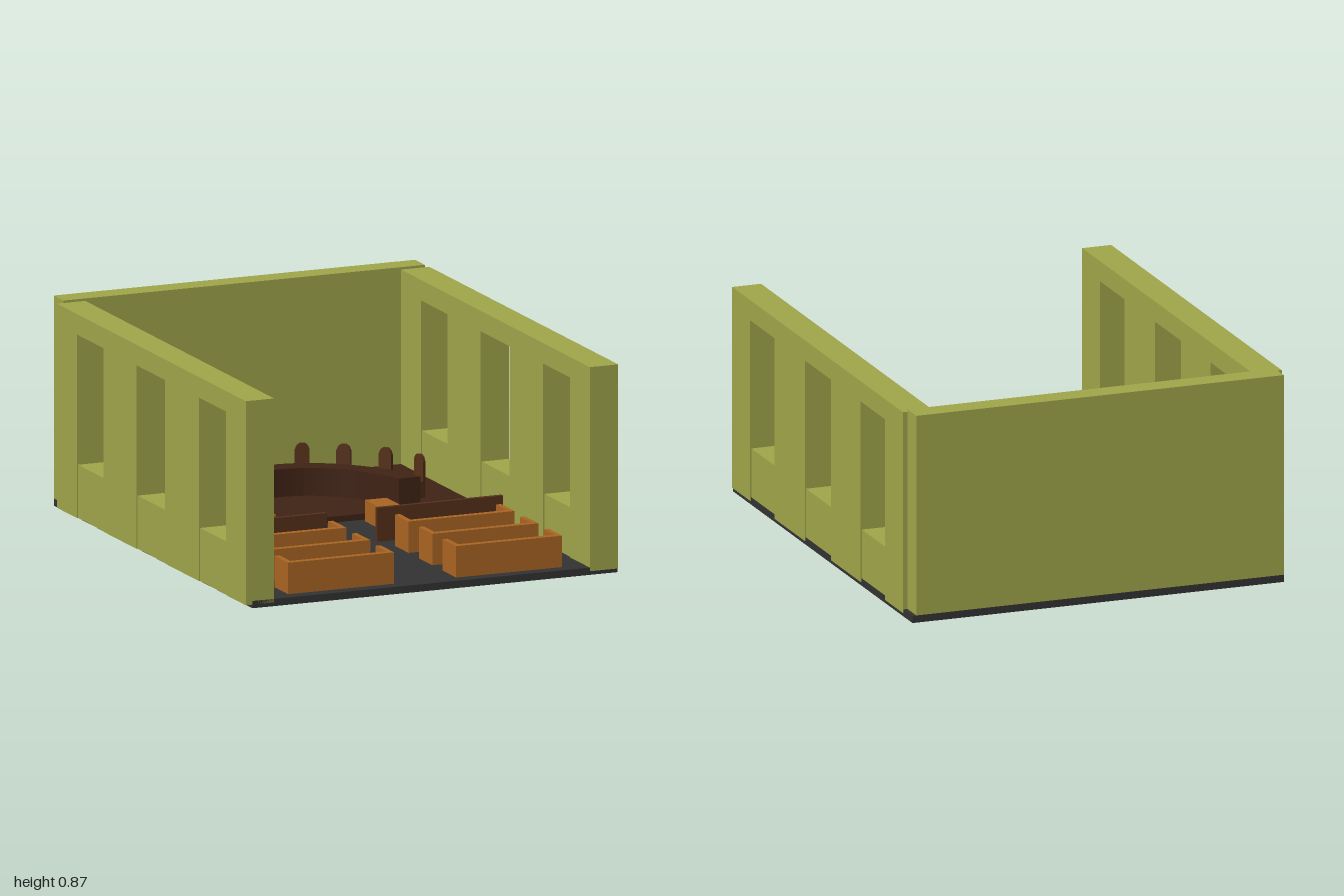
import * as THREE from 'three';

const mat = (color) => new THREE.MeshStandardMaterial({ color, flatShading: true });

export function createModel() {
  const room = new THREE.Group();
  room.name = 'courtroom';
  const olive = mat(0xa0a64a), slate = mat(0x333333), darkWood = mat(0x3f2215);
  const redWood = mat(0x55301a), lightWood = mat(0xaa6522);

  // Box given by its minimum and maximum on each axis
  function box(parent, name, material, x0, x1, y0, y1, z0, z1) {
    const mesh = new THREE.Mesh(new THREE.BoxGeometry(x1 - x0, y1 - y0, z1 - z0), material);
    mesh.position.set((x0 + x1) / 2, (y0 + y1) / 2, (z0 + z1) / 2);
    mesh.name = name;
    parent.add(mesh);
    return mesh;
  }
  function group(name) {
    const g = new THREE.Group();
    g.name = name;
    room.add(g);
    return g;
  }

  // Floor, raised platform and back wall
  box(room, 'floor', slate, -0.79, 0.817, 0, 0.03, -1, 1);
  box(room, 'platform', darkWood, -0.7, 0.695, 0.025, 0.055, -0.9, -0.15);
  box(room, 'backWall', olive, -0.79, 0.8, 0.004, 0.87, -0.999, -0.9);

  // Side walls: an outline with full-height notches, closed below by inset sills
  const windows = [[-0.7, -0.43], [-0.1, 0.19], [0.53, 0.8]];
  const outline = new THREE.Shape();
  outline.moveTo(-0.9, 0.015);
  for (const [a, b] of windows) {
    outline.lineTo(a, 0.015);
    outline.lineTo(a, 0.775);
    outline.lineTo(b, 0.775);
    outline.lineTo(b, 0.015);
  }
  outline.lineTo(1, 0.015);
  outline.lineTo(1, 0.86);
  outline.lineTo(-0.9, 0.86);
  const wallGeometry = new THREE.ExtrudeGeometry(outline, { depth: 0.125, bevelEnabled: false });
  wallGeometry.rotateY(-Math.PI / 2);
  for (const [name, x] of [['leftWall', 0.82], ['rightWall', -0.695]]) {
    const g = group(name);
    const wall = new THREE.Mesh(wallGeometry, olive);
    wall.position.x = x;
    wall.name = 'wallPanel';
    g.add(wall);
    for (const [a, b] of windows) {
      box(g, 'windowSill', olive, x - 0.12, x - 0.005, 0.015, 0.235, a, b);
    }
  }

  // Curved bench desk on the platform (plan drawn as x, -z)
  const half = (pts) => [...pts, ...pts.slice(0, -1).reverse().map(([x, y]) => [-x, y])];
  const spline = (pts) => new THREE.CatmullRomCurve3(
    half(pts).map(([x, y]) => new THREE.Vector3(x, y, 0)), false, 'centripetal').getPoints(36);
  const outer = spline([[0.48, 0.21], [0.425, 0.355], [0.31, 0.51], [0.16, 0.615], [0, 0.645]]);
  const inner = spline([[0.385, 0.21], [0.32, 0.345], [0.235, 0.46], [0.12, 0.535], [0, 0.555]]);
  const plan = new THREE.Shape([...outer, ...inner.reverse()].map((p) => new THREE.Vector2(p.x, p.y)));
  const deskGeometry = new THREE.ExtrudeGeometry(plan, { depth: 0.12, bevelEnabled: false });
  deskGeometry.rotateX(-Math.PI / 2);
  const desk = new THREE.Mesh(deskGeometry, darkWood);
  desk.position.y = 0.05;
  desk.name = 'curvedDesk';
  room.add(desk);

  // Chairs with arched backs, all facing the middle of the desk
  const arch = new THREE.Shape([[-0.03, 0], [0.03, 0], [0.03, 0.15], [0.022, 0.168], [0.01, 0.177],
    [-0.01, 0.177], [-0.022, 0.168], [-0.03, 0.15]].map(([x, y]) => new THREE.Vector2(x, y)));
  const backGeometry = new THREE.ExtrudeGeometry(arch, { depth: 0.014, bevelEnabled: false });
  function chair(x, z) {
    const g = group('chair');
    box(g, 'seat', redWood, -0.03, 0.03, 0, 0.07, -0.017, 0.03);
    const back = new THREE.Mesh(backGeometry, redWood);
    back.position.z = -0.03;
    back.name = 'chairBack';
    g.add(back);
    g.position.set(x, 0.054, z);
    g.rotation.y = Math.atan2(-x, -0.21 - z);
  }
  chair(0, -0.71);
  for (const [x, z] of [[0.17, -0.69], [0.31, -0.61], [0.435, -0.49], [0.51, -0.335]]) {
    chair(x, z);
    chair(-x, z);
  }

  // Tables: top on two end panels with a modesty panel
  function table(name, x, z, width, depth, height, turn) {
    const g = group(name);
    const w = width / 2, d = depth / 2;
    box(g, 'tableTop', lightWood, -w, w, height - 0.015, height, -d, d);
    for (const s of [-1, 1]) {
      box(g, 'endPanel', lightWood, s * (w - 0.008) - 0.008, s * (w - 0.008) + 0.008, 0, height - 0.015, -d, d);
    }
    box(g, 'frontPanel', lightWood, -w + 0.016, w - 0.016, 0, height - 0.015, -d, -d + 0.015);
    g.position.set(x, 0.029, z);
    g.rotation.y = turn;
  }
  table('frontTable', -0.413, -0.07, 0.345, 0.1, 0.09, 0);
  table('rearTable', -0.413, 0.105, 0.345, 0.09, 0.09, 0);
  table('sideTable', 0.243, 0.027, 0.295, 0.095, 0.09, Math.PI / 2);

  // Low barriers in front of the public seating
  box(room, 'rightBarrier', redWood, -0.66, -0.127, 0.029, 0.17, 0.215, 0.235);
  box(room, 'leftBarrier', redWood, 0.095, 0.648, 0.029, 0.17, 0.215, 0.235);

  // Pews: backrest towards the entrance, side panels and a seat
  for (const x of [-0.61, 0.13]) {
    for (const z of [0.33, 0.57, 0.81]) {
      const g = group('pew');
      box(g, 'backrest', lightWood, x, x + 0.467, 0.029, 0.16, z + 0.107, z + 0.136);
      box(g, 'sidePanel', lightWood, x, x + 0.022, 0.029, 0.16, z, z + 0.107);
      box(g, 'sidePanel', lightWood, x + 0.445, x + 0.467, 0.029, 0.16, z, z + 0.107);
      box(g, 'seat', lightWood, x + 0.022, x + 0.445, 0.029, 0.09, z, z + 0.107);
    }
  }
  return room;
}
